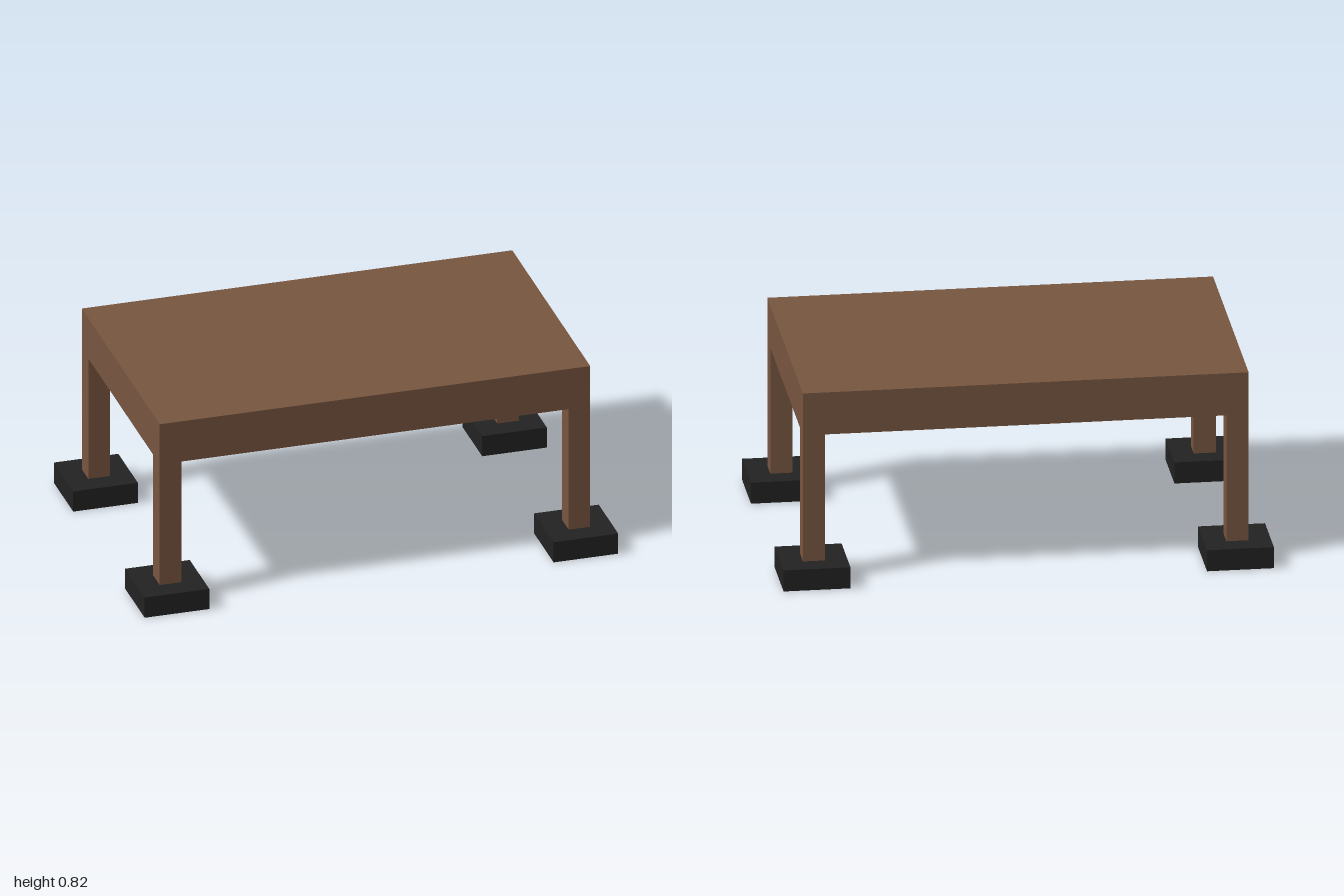
import * as THREE from 'three';

const U = 1 / 11; // every part is a whole number of these units

export function createModel() {
  const wood = new THREE.MeshStandardMaterial({ color: 0x785640 });
  wood.name = 'brown wood';
  const black = new THREE.MeshStandardMaterial({ color: 0x222222 });
  black.name = 'black foot';

  const table = new THREE.Group();
  table.name = 'table';

  // Box sized and centred in units, standing on height y
  function box(name, material, [w, h, d], [x, y, z]) {
    const mesh = new THREE.Mesh(new THREE.BoxGeometry(w * U, h * U, d * U), material);
    mesh.position.set(x * U, (y + h / 2) * U, z * U);
    mesh.name = name;
    table.add(mesh);
  }

  // Table top
  box('tableTop', wood, [20, 1, 12], [0, 8, 0]);

  // Apron rails under the edges, between the legs
  for (const s of [-1, 1]) {
    box(s > 0 ? 'frontRail' : 'backRail', wood, [18, 1, 1], [0, 7, s * 5.5]);
    box(s > 0 ? 'leftRail' : 'rightRail', wood, [1, 1, 10], [s * 9.5, 7, 0]);
  }

  // Legs with square feet at the four corners
  for (const sx of [-1, 1]) {
    for (const sz of [-1, 1]) {
      const corner = (sz > 0 ? 'front' : 'back') + (sx > 0 ? 'Left' : 'Right');
      box(corner + 'Leg', wood, [1, 7, 1], [sx * 9.5, 1, sz * 5.5]);
      box(corner + 'Foot', black, [3, 1, 3], [sx * 9.5, 0, sz * 5.5]);
    }
  }
  return table;
}
